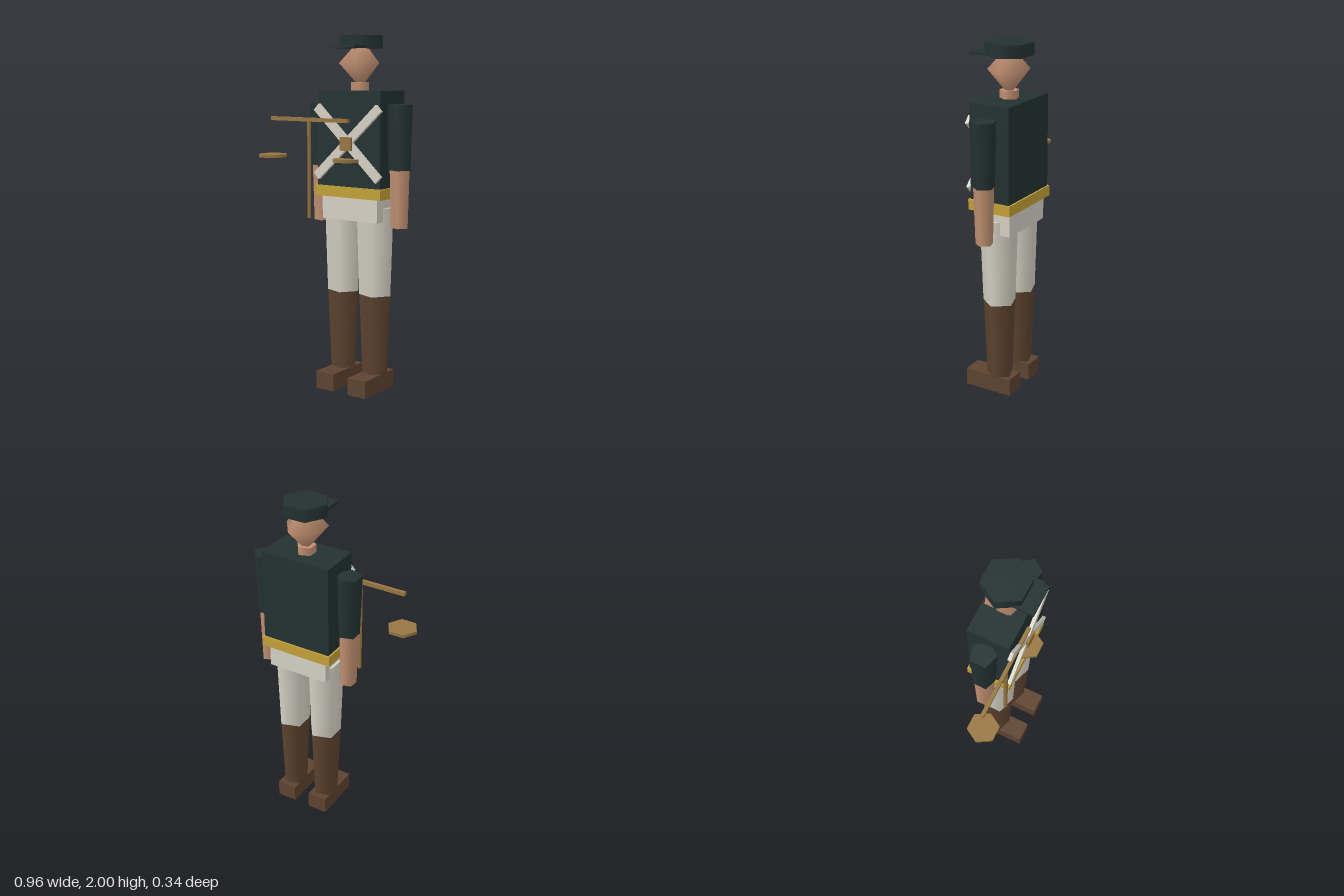
import * as THREE from 'three';

const material = (name, color) => {
  const m = new THREE.MeshStandardMaterial({ color });
  m.name = name;
  return m;
};

export function createModel() {
  const coat = material('dark coat', 0x243232);
  const cream = material('cream cloth', 0xd6d2c5);
  const leather = material('brown leather', 0x5e432f);
  const skin = material('skin', 0xc29172);
  const gold = material('gold sash', 0xc4a238);
  const wood = material('light wood', 0x987742);

  const model = new THREE.Group();
  model.name = 'soldierWithScales';
  const CX = 0.135, CZ = -0.04; // middle of the body

  const add = (parent, name, geometry, mat, x, y, z) => {
    const mesh = new THREE.Mesh(geometry, mat);
    mesh.name = name;
    mesh.position.set(x, y, z);
    parent.add(mesh);
    return mesh;
  };
  const box = (parent, name, mat, w, h, d, x, y, z) =>
    add(parent, name, new THREE.BoxGeometry(w, h, d), mat, x, y, z);
  // Few-sided tapered column from y0 up to y1, with one corner pointing to +x
  const column = (parent, name, mat, rTop, rBottom, y0, y1, x, z, sides = 5) => {
    const g = new THREE.CylinderGeometry(rTop, rBottom, y1 - y0, sides).rotateY(Math.PI / 2);
    return add(parent, name, g, mat, x, (y0 + y1) / 2, z);
  };

  const body = new THREE.Group();
  body.name = 'body';
  body.position.set(CX, 0, CZ);
  model.add(body);

  // Trunk
  box(body, 'torso', coat, 0.42, 0.54, 0.24, 0, 1.43, 0);
  box(body, 'sash', gold, 0.44, 0.06, 0.26, 0, 1.14, 0);
  box(body, 'hips', cream, 0.37, 0.15, 0.22, 0, 1.055, 0);

  // Head, a five-sided double cone, and neck
  column(body, 'neck', skin, 0.055, 0.055, 1.68, 1.745, 0, 0);
  const head = new THREE.SphereGeometry(0.122, 5, 2, Math.PI);
  head.scale(1, 1.13, 1);
  add(body, 'head', head, skin, 0, 1.85, 0);

  // Cap
  column(body, 'cap', coat, 0.132, 0.132, 1.93, 2, 0, 0, 6);
  box(body, 'capVisor', coat, 0.175, 0.016, 0.14, 0, 1.938, 0.12);

  // Limbs
  for (const [side, s] of [['left', 1], ['right', -1]]) {
    const arm = new THREE.Group();
    arm.name = side + 'Arm';
    arm.position.x = s * 0.265;
    body.add(arm);
    column(arm, 'sleeve', coat, 0.075, 0.064, 1.27, 1.627, 0, 0);
    column(arm, 'forearm', skin, 0.059, 0.05, 0.95, 1.275, 0, 0);

    const leg = new THREE.Group();
    leg.name = side + 'Leg';
    leg.position.x = s * 0.11;
    body.add(leg);
    column(leg, 'trouser', cream, 0.112, 0.096, 0.555, 1.055, 0, 0);
    column(leg, 'boot', leather, 0.095, 0.076, 0.09, 0.555, 0, 0);
    box(leg, 'foot', leather, 0.12, 0.1, 0.29, 0, 0.05, 0.048);

    // Diagonal chest strap
    const strap = box(body, side + 'Strap', cream, 0.57, 0.05, 0.02, 0, 1.415, 0.129 + s * 0.0005);
    strap.rotation.z = s * 0.75;
  }
  box(body, 'strapPlate', wood, 0.075, 0.075, 0.02, 0, 1.41, 0.143);

  // Balance scales: post, beam and two pans
  const scales = new THREE.Group();
  scales.name = 'scales';
  scales.position.set(-0.13, 0, 0.091);
  model.add(scales);
  column(scales, 'post', wood, 0.013, 0.013, 0.975, 1.53, 0, 0, 4);
  box(scales, 'beam', wood, 0.545, 0.022, 0.02, 0, 1.535, 0);
  for (const s of [-1, 1])
    column(scales, s < 0 ? 'rightPan' : 'leftPan', wood, 0.087, 0.087, 1.31, 1.328, s * 0.265, 0, 6);

  return model;
}
